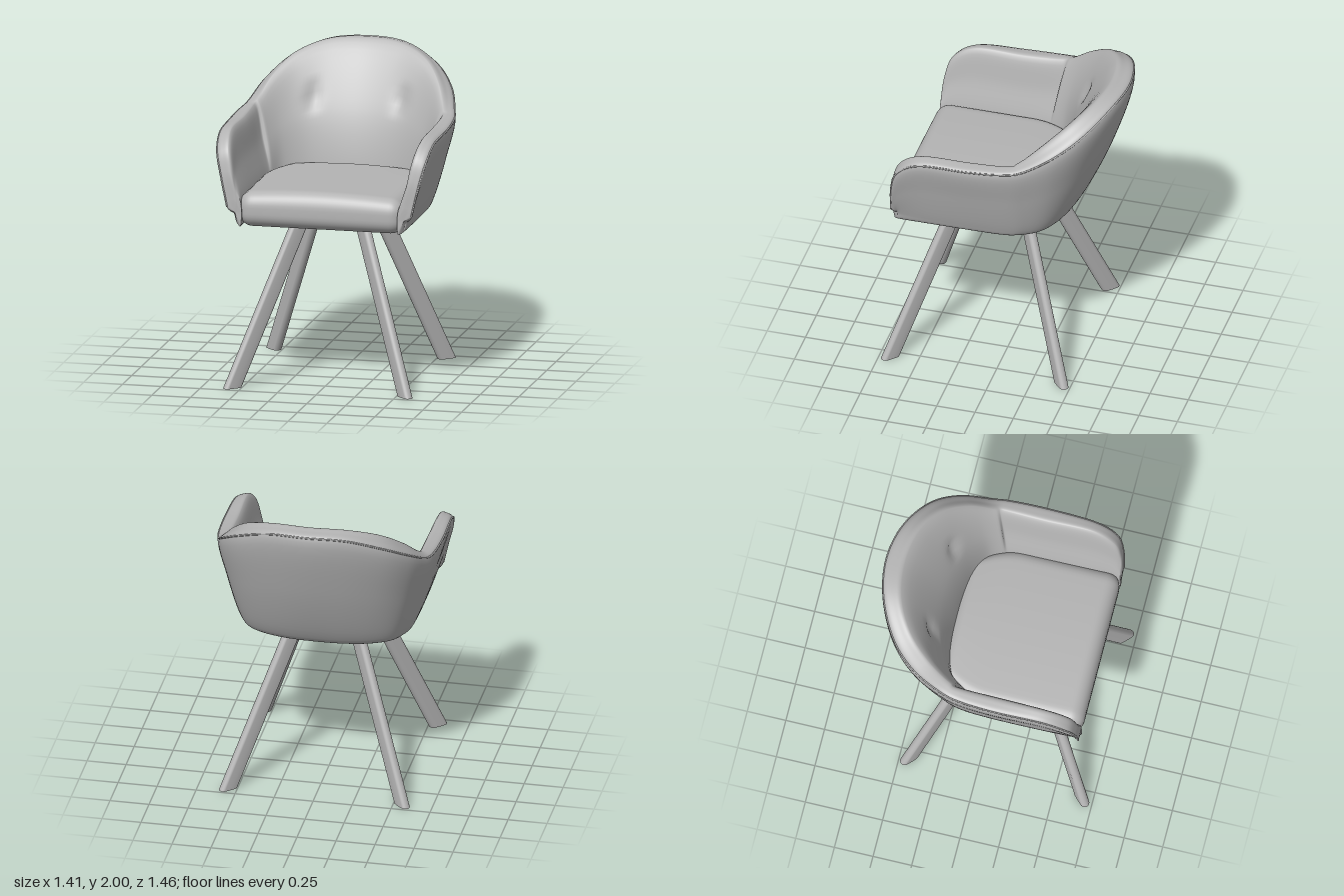
import * as THREE from 'three';
import { mergeVertices } from 'three/addons/utils/BufferGeometryUtils.js';

const grey = new THREE.MeshStandardMaterial({ color: 0xb4b4b4 });
grey.name = 'grey';

// Shell stations from the left arm's front to the middle of the back:
// outer rim x y z, inner rim x y z, outer foot x z, inner foot x z
const stations = [
  [.595, 1.16, .665, .54, 1.19, .668, .55, .635, .51, .665],
  [.64, 1.36, .65, .58, 1.385, .652, .56, .62, .51, .65],
  [.675, 1.5, .60, .60, 1.53, .60, .565, .57, .51, .60],
  [.692, 1.59, .45, .615, 1.615, .45, .57, .42, .505, .45],
  [.70, 1.605, .15, .61, 1.62, .15, .57, .12, .50, .15],
  [.69, 1.62, -.08, .61, 1.635, -.08, .56, -.08, .495, -.02],
  [.665, 1.645, -.21, .60, 1.665, -.17, .53, -.19, .48, -.08],
  [.60, 1.75, -.40, .54, 1.79, -.32, .46, -.30, .43, -.17],
  [.47, 1.86, -.56, .42, 1.91, -.47, .34, -.37, .31, -.23],
  [.25, 1.955, -.68, .23, 1.978, -.575, .18, -.41, .16, -.255],
  [0, 1.975, -.725, 0, 1.99, -.61, 0, -.42, 0, -.26],
];

// Smooth curve through one point of every station, mirrored to the right side
function rail(pick) {
  const half = stations.map(s => new THREE.Vector3(...pick(s)));
  const other = half.slice(0, -1).reverse().map(p => new THREE.Vector3(-p.x, p.y, p.z));
  return new THREE.CatmullRomCurve3([...half, ...other], false, 'catmullrom', 0.5);
}
const outerRim = rail(s => s.slice(0, 3));
const innerRim = rail(s => s.slice(3, 6));
const outerFoot = rail(s => [s[6], 1.11, s[7]]);
const innerFoot = rail(s => [s[8], 1.04, s[9]]);

// Closed cross-section of the shell at t along the U
function section(t) {
  const rim = outerRim.getPoint(t), inner = innerRim.getPoint(t);
  const foot = outerFoot.getPoint(t), seat = innerFoot.getPoint(t);
  const out = rim.clone().sub(seat).setY(0).normalize();
  const station = 10 - Math.abs(t * 20 - 10);
  const pad = 0.02 * THREE.MathUtils.smoothstep(station, 5.7, 5.95);
  inner.addScaledVector(out, -pad * 0.4);
  const seatTop = seat.clone().setY(Math.min(1.2, inner.y - 0.06));
  const outerMid = foot.clone().lerp(rim, 0.5)
    .addScaledVector(out, Math.max(0.01, 0.1 * (rim.y - 1.5)));
  const innerMid = inner.clone().lerp(seatTop, 0.5)
    .addScaledVector(out, -pad - Math.max(0, 0.15 * (inner.y - 1.64)));
  const top = rim.clone().lerp(inner, 0.5);
  top.y += 0.012;
  const tuck = foot.clone().lerp(seat, 0.35).setY(1.06);
  return new THREE.CatmullRomCurve3(
    [seat, tuck, foot, outerMid, rim, top, inner, innerMid, seatTop], true, 'centripetal');
}

function shellGeometry() {
  const N = 160, M = 72, pos = [], index = [];
  const rows = [];
  for (let i = 0; i <= N; i++) {
    const curve = section(i / N), row = [];
    for (let j = 0; j < M; j++) {
      const p = curve.getPoint(j / M);
      // Tufted dimples on the inside of the back
      if (j > M * 6 / 9 && p.z < -0.1) {
        const d2 = (Math.abs(p.x) - 0.28) ** 2 + (p.y - 1.66) ** 2;
        p.z -= 0.03 * Math.exp(-d2 / 0.0025);
      }
      row.push(p);
    }
    rows.push(row);
  }
  // Close both arm fronts with a row gathered at the middle
  const cap = row => {
    const c = new THREE.Vector3();
    row.forEach(p => c.addScaledVector(p, 1 / M));
    c.z += 0.008;
    return row.map(() => c);
  };
  rows.unshift(cap(rows[0]));
  rows.push(cap(rows[rows.length - 1]));
  rows.flat().forEach(p => pos.push(p.x, p.y, p.z));
  for (let i = 0; i < rows.length - 1; i++) {
    for (let j = 0; j < M; j++) {
      const k = (j + 1) % M;
      const a = i * M + j, b = a + M, c = (i + 1) * M + k, d = i * M + k;
      index.push(a, b, c, a, c, d);
    }
  }
  const g = new THREE.BufferGeometry();
  g.setAttribute('position', new THREE.Float32BufferAttribute(pos, 3));
  g.setIndex(index);
  g.computeVertexNormals();
  return g;
}

// Rounded, crowned cushion that narrows towards the back
function cushionGeometry() {
  const w = 1.07, h = 0.22, d = 0.97, r = 0.09;
  let g = new THREE.BoxGeometry(w, h, d, 48, 12, 48);
  const p = g.attributes.position, v = new THREE.Vector3(), core = new THREE.Vector3();
  const lim = new THREE.Vector3(w / 2 - r, h / 2 - r, d / 2 - r);
  for (let i = 0; i < p.count; i++) {
    v.fromBufferAttribute(p, i);
    core.copy(v).clamp(lim.clone().negate(), lim);
    v.sub(core).setLength(r).add(core);
    if (v.y > 0) v.y += 0.022 * (1 - (2 * v.x / w) ** 2) * (v.y / (h / 2));
    v.y += 1.14;
    v.z += 0.185;
    if (v.z < 0.05) v.x *= 1 - 0.33 * ((0.05 - v.z) / 0.35) ** 2;
    p.setXYZ(i, v.x, v.y, v.z);
  }
  g.deleteAttribute('normal');
  g.deleteAttribute('uv');
  g = mergeVertices(g, 1e-5);
  g.computeVertexNormals();
  return g;
}

// Splayed flat-sided leg with level ends, wide along its splay
function legGeometry(top, foot) {
  const g = new THREE.CylinderGeometry(0.03, 0.03, 1.02, 24, 1);
  const p = g.attributes.position;
  for (let i = 0; i < p.count; i++) {
    const x = p.getX(i);
    if (Math.abs(x) > 1e-6) p.setX(i, x + Math.sign(x) * 0.032);
  }
  g.rotateY(-Math.atan2(foot.y - top.y, foot.x - top.x));
  for (let i = 0; i < p.count; i++) {
    const k = 0.5 - p.getY(i) / 1.02;
    p.setXYZ(i, p.getX(i) + THREE.MathUtils.lerp(top.x, foot.x, k),
      p.getY(i) + 0.51, p.getZ(i) + THREE.MathUtils.lerp(top.y, foot.y, k));
  }
  g.computeVertexNormals();
  return g;
}

export function createModel() {
  const chair = new THREE.Group();
  chair.name = 'armchair';
  const add = (name, geometry) => {
    const mesh = new THREE.Mesh(geometry, grey);
    mesh.name = name;
    chair.add(mesh);
    return mesh;
  };

  add('shell', shellGeometry());
  add('rimPiping', new THREE.TubeGeometry(outerRim, 140, 0.006, 6));
  add('seatCushion', cushionGeometry());
  add('basePlate', new THREE.BoxGeometry(0.54, 0.03, 0.56)).position.set(0, 1.027, 0.12);

  // Legs, x and z of the top and the foot
  for (const [side, s] of [['Left', 1], ['Right', -1]]) {
    add('front' + side + 'Leg', legGeometry(
      new THREE.Vector2(0.2 * s, 0.335), new THREE.Vector2(0.558 * s, 0.68)));
    add('back' + side + 'Leg', legGeometry(
      new THREE.Vector2(0.2 * s, -0.1), new THREE.Vector2(0.558 * s, -0.438)));
  }
  return chair;
}
